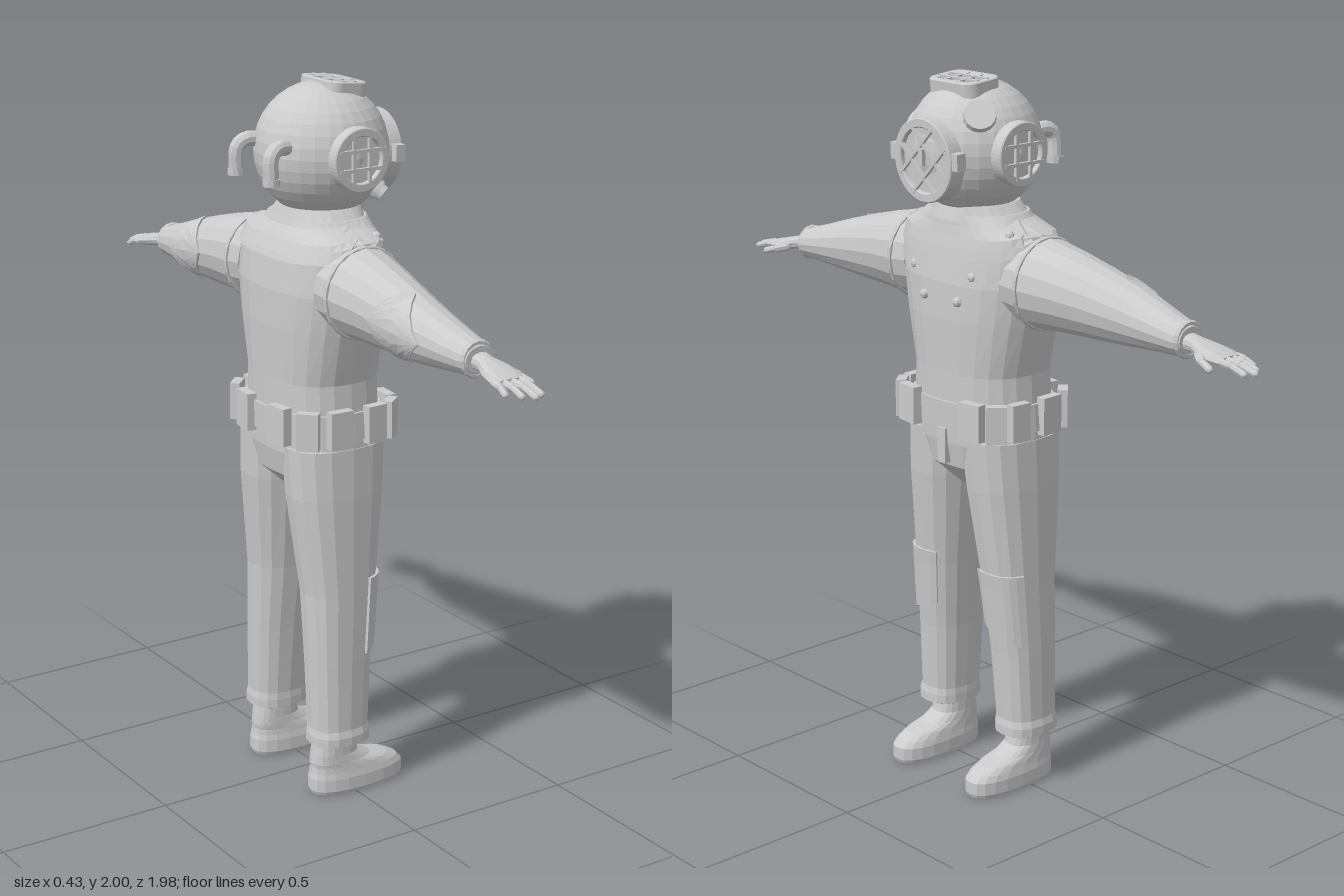
import * as THREE from 'three';

const mat = new THREE.MeshStandardMaterial({ color: 0xcccccc, flatShading: true, side: THREE.DoubleSide });
const V = (x, y, z) => new THREE.Vector3(x, y, z);

function add(parent, name, geo, pos = [0, 0, 0], rot = [0, 0, 0]) {
  const m = new THREE.Mesh(geo, mat);
  m.name = name;
  m.position.set(...pos);
  m.rotation.set(...rot);
  parent.add(m);
  return m;
}

// Surface through rings [t, centre1, centre2, radius1, radius2] along y or x
function surface(rings, axis, e) {
  const pw = c => Math.sign(c) * Math.abs(c) ** e;
  return (t, a, off = 0, k = 1) => {
    let i = 0;
    while (i < rings.length - 2 && t > rings[i + 1][0]) i++;
    const f = THREE.MathUtils.clamp((t - rings[i][0]) / (rings[i + 1][0] - rings[i][0]), 0, 1);
    const [, c1, c2, r1, r2] = rings[i].map((q, n) => q + (rings[i + 1][n] - q) * f);
    const p = c1 + k * (r1 + off) * pw(axis === 'y' ? Math.cos(a) : Math.sin(a));
    const z = c2 + k * (r2 + off) * pw(axis === 'y' ? Math.sin(a) : Math.cos(a));
    return axis === 'y' ? V(p, t, z) : V(t, p, z);
  };
}

// Quad grid of nu x nv cells from fn(i, j)
function grid(nu, nv, fn) {
  const pos = [], idx = [];
  for (let j = 0; j <= nv; j++) for (let i = 0; i <= nu; i++) pos.push(...fn(i, j).toArray());
  for (let j = 0; j < nv; j++) for (let i = 0; i < nu; i++) {
    const a = j * (nu + 1) + i, b = a + 1, c = a + nu + 1, d = c + 1;
    idx.push(a, c, b, b, c, d);
  }
  const g = new THREE.BufferGeometry();
  g.setAttribute('position', new THREE.Float32BufferAttribute(pos, 3));
  g.setIndex(idx);
  g.computeVertexNormals();
  return g;
}

// Closed tube over the given stations, capped at both ends
function loft(f, ts, n) {
  const rows = [ts[0], ...ts, ts[ts.length - 1]];
  return grid(n, rows.length - 1, (i, j) =>
    f(rows[j], i / n * Math.PI * 2, 0, j === 0 || j === rows.length - 1 ? 0 : 1));
}

// Raised patch lying on a surface; range(v, u) gives [t, angle]; borders sink in
function patch(f, nu, nv, off, range, wrap = false) {
  return grid(nu, nv, (i, j) => {
    const edge = j === 0 || j === nv || (!wrap && (i === 0 || i === nu));
    const cl = (k, n) => THREE.MathUtils.clamp((k - 1) / (n - 2), 0, 1);
    const [t, a] = range(cl(j, nv), wrap ? i / nu : cl(i, nu));
    return f(t, a, edge ? -0.006 : off);
  });
}

function rod(parent, name, p, q, r) {
  const d = q.clone().sub(p);
  const m = add(parent, name, new THREE.CapsuleGeometry(r, Math.max(d.length() - r, 0.005), 3, 8),
    p.clone().add(q).multiplyScalar(0.5).toArray());
  m.quaternion.setFromUnitVectors(V(0, 1, 0), d.normalize());
}

function rounded(P, w, h, r) {
  const s = new P();
  [[w - r, h - r, 0], [r - w, h - r, 1], [r - w, r - h, 2], [w - r, r - h, 3]].forEach(([x, y, q]) =>
    s.absarc(x, y, r, q * Math.PI / 2, (q + 1) * Math.PI / 2, false));
  return s;
}

// Framed port with a barred grille; its front face is at z = 0
function port(name, w, h, r, rim, depth, turn) {
  const g = new THREE.Group();
  g.name = name;
  const frame = rounded(THREE.Shape, w, h, r);
  frame.holes.push(rounded(THREE.Path, w - rim, h - rim, r - rim));
  const opt = { depth, bevelEnabled: true, bevelSize: 0.003, bevelThickness: 0.003, bevelSegments: 1, curveSegments: 6 };
  add(g, 'portFrame', new THREE.ExtrudeGeometry(frame, opt), [0, 0, -depth - 0.003]);
  add(g, 'glass', new THREE.ShapeGeometry(rounded(THREE.Shape, w - rim, h - rim, r - rim), 6), [0, 0, -0.014]);
  const bars = new THREE.Group();
  bars.name = 'grille';
  bars.rotation.z = turn;
  g.add(bars);
  const round = r >= w;
  for (const s of [-1, 1]) {
    const x = s * w * 0.3, y = s * h * 0.3;
    const ly = round ? Math.sqrt(w * w - x * x) * 2 - rim : 2 * h - rim;
    const lx = round ? Math.sqrt(h * h - y * y) * 2 - rim : 2 * w - rim;
    add(bars, 'bar', new THREE.BoxGeometry(0.009, ly, 0.009), [x, 0, -0.004]);
    add(bars, 'bar', new THREE.BoxGeometry(lx, 0.009, 0.009), [0, y, -0.002]);
  }
  return g;
}

const torso = surface([
  [0.865, 0, -0.01, 0.05, 0.07], [0.93, 0, -0.012, 0.17, 0.135], [1.0, 0, -0.012, 0.21, 0.148],
  [1.1, 0, -0.01, 0.2, 0.152], [1.2, 0, -0.01, 0.193, 0.153], [1.35, 0, -0.01, 0.228, 0.157],
  [1.45, 0, -0.01, 0.248, 0.155], [1.54, 0, -0.01, 0.25, 0.143], [1.59, 0, -0.003, 0.235, 0.125],
  [1.62, 0, 0.005, 0.15, 0.112], [1.66, 0, 0.01, 0.11, 0.105]], 'y', 0.8);
const leg = surface([
  [0.15, 0.161, -0.028, 0.064, 0.08], [0.155, 0.161, -0.028, 0.073, 0.09], [0.18, 0.161, -0.028, 0.073, 0.09],
  [0.2, 0.159, -0.028, 0.069, 0.086], [0.4, 0.151, -0.024, 0.075, 0.094], [0.6, 0.139, -0.016, 0.083, 0.106],
  [0.88, 0.117, -0.014, 0.099, 0.138], [1.02, 0.106, -0.012, 0.104, 0.145]], 'y', 0.8);
const arm = surface([
  [0.19, 1.47, -0.01, 0.12, 0.12], [0.26, 1.465, -0.01, 0.122, 0.12], [0.36, 1.457, -0.016, 0.109, 0.105],
  [0.46, 1.445, -0.022, 0.096, 0.091], [0.58, 1.43, -0.026, 0.077, 0.078], [0.68, 1.418, -0.02, 0.057, 0.064],
  [0.75, 1.41, -0.015, 0.045, 0.053], [0.765, 1.41, -0.015, 0.035, 0.042]], 'x', 1);
const shoe = surface([
  [0, 0.156, 0.034, 0.058, 0.146], [0.01, 0.156, 0.034, 0.062, 0.15], [0.045, 0.156, 0.034, 0.061, 0.15],
  [0.062, 0.156, 0.028, 0.057, 0.14], [0.078, 0.156, 0.012, 0.054, 0.122], [0.092, 0.156, -0.018, 0.051, 0.093],
  [0.115, 0.156, -0.038, 0.048, 0.07], [0.17, 0.156, -0.04, 0.045, 0.06]], 'y', 0.8);
const palm = surface([
  [0.75, 1.408, -0.012, 0.024, 0.03], [0.79, 1.404, -0.012, 0.02, 0.028], [0.83, 1.396, -0.012, 0.019, 0.046],
  [0.87, 1.388, -0.015, 0.017, 0.05], [0.895, 1.383, -0.018, 0.012, 0.045]], 'x', 0.85);

// One side of the body: arm, hand, leg, shoe and belt weights
function makeSide() {
  const g = new THREE.Group();
  add(g, 'sleeve', loft(arm, [0.19, 0.26, 0.36, 0.46, 0.58, 0.68, 0.75, 0.765], 16));
  add(g, 'shoulderSeam', new THREE.TorusGeometry(0.121, 0.007, 6, 24), [0.252, 1.465, -0.01], [0, Math.PI / 2, 0]);
  add(g, 'sleeveCuff', new THREE.TorusGeometry(0.043, 0.008, 6, 16), [0.755, 1.41, -0.015], [0, Math.PI / 2, 0]);
  add(g, 'elbowPatch', patch(arm, 10, 10, 0.006, (v, u) =>
    [0.42 + 0.2 * v, Math.PI + (u - 0.5) * 2.9 * (1 - Math.abs(2 * v - 1))]));
  add(g, 'palm', loft(palm, [0.75, 0.79, 0.83, 0.87, 0.895], 12));
  [[-0.055, 0.935, -0.062], [-0.033, 0.968, -0.036], [-0.009, 0.988, -0.01], [0.014, 0.975, 0.017]].forEach(([z, x, z2]) => {
    const mid = V((0.88 + x) / 2, 1.382, (z + z2) / 2);
    rod(g, 'finger', V(0.875, 1.386, z), mid, 0.0105);
    rod(g, 'finger', mid, V(x, 1.368, z2), 0.009);
  });
  rod(g, 'thumb', V(0.82, 1.392, 0.018), V(0.855, 1.382, 0.042), 0.013);
  rod(g, 'thumb', V(0.855, 1.382, 0.042), V(0.893, 1.37, 0.052), 0.01);

  add(g, 'trouserLeg', loft(leg, [0.15, 0.155, 0.18, 0.2, 0.4, 0.6, 0.88, 1.02], 16));
  add(g, 'kneePatch', patch(leg, 9, 6, 0.007, (v, u) => [0.42 + 0.06 * u * (1 - v) + 0.22 * v, 0.4 + 1.65 * u]));
  add(g, 'shoe', loft(shoe, [0, 0.01, 0.045, 0.062, 0.078, 0.092, 0.115, 0.17], 20));

  // Belt weights around the waist
  [[0.126, 0.147, 0.12, 0.072], [0.193, 0.118, 0.9, 0.055], [0.213, 0.055, 1.5, 0.06], [0.213, -0.058, 1.62, 0.068],
    [0.182, -0.14, 2.35, 0.06], [0.085, -0.17, 3.04, 0.07]].forEach(([x, z, r, w]) => {
    add(g, 'beltWeight', new THREE.BoxGeometry(w, 0.105, 0.028), [x, 1.085, z], [0, r, 0]);
  });

  // Breathing pipe behind the helmet
  const path = new THREE.CatmullRomCurve3([V(0.07, 1.83, -0.11), V(0.08, 1.838, -0.165), V(0.085, 1.82, -0.19), V(0.088, 1.75, -0.193)]);
  add(g, 'breathingPipe', new THREE.TubeGeometry(path, 12, 0.021, 10));
  add(g, 'pipeEnd', new THREE.CylinderGeometry(0.023, 0.023, 0.018, 10), [0.088, 1.752, -0.193]);

  // Side port
  const p = port('sidePort', 0.083, 0.083, 0.083, 0.018, 0.04, 0);
  p.position.set(0.195, 1.805, 0.022);
  p.rotation.y = Math.PI / 2;
  g.add(p);
  return g;
}

export function createModel() {
  const root = new THREE.Group();
  root.name = 'deepSeaDiver';
  const body = new THREE.Group();
  body.name = 'body';
  body.rotation.y = Math.PI / 2;
  root.add(body);

  add(body, 'torso', loft(torso, [0.865, 0.93, 1.0, 1.1, 1.2, 1.35, 1.45, 1.54, 1.59, 1.62, 1.66], 24));
  add(body, 'belt', patch(torso, 24, 3, 0.008, (v, u) => [1.045 + 0.075 * v, u * Math.PI * 2], true));
  add(body, 'fly', new THREE.BoxGeometry(0.03, 0.1, 0.02), [0, 0.99, 0.135]);

  // Breastplate over the shoulders with bolts
  const rim = a => 1.585 - (Math.sin(a) > 0 ? 0.125 : 0.05) * Math.sqrt(Math.abs(Math.sin(a)));
  add(body, 'breastplate', patch(torso, 32, 8, 0.007, (v, u) => {
    const a = u * Math.PI * 2;
    return [rim(a) + (1.635 - rim(a)) * v, a];
  }, true));
  for (const s of [-1, 1]) for (const [x, y, z] of [[0.19, 1.595, 0.07], [0.165, 1.495, 0.108], [0.115, 1.48, 0.133], [0.066, 1.405, 0.143]])
    add(body, 'bolt', new THREE.SphereGeometry(0.014, 8, 6), [s * x, y, z]);

  // Helmet
  add(body, 'neckRing', new THREE.CylinderGeometry(0.112, 0.124, 0.035, 24), [0, 1.635, 0.012]);
  add(body, 'helmet', new THREE.SphereGeometry(0.183, 28, 18), [0, 1.806, 0.02]);
  const front = port('frontPort', 0.11, 0.11, 0.11, 0.02, 0.06, Math.PI / 4);
  front.position.set(0, 1.785, 0.207);
  front.rotation.x = 0.04;
  body.add(front);
  add(front, 'latch', new THREE.BoxGeometry(0.016, 0.045, 0.012), [0, 0.01, 0.001]);
  for (const s of [-1, 1])
    add(front, 'hinge', new THREE.BoxGeometry(0.03, 0.045, 0.03), [s * 0.118, 0.01, -0.02]);
  const top = port('topPort', 0.085, 0.058, 0.03, 0.016, 0.035, 0);
  top.position.set(0, 1.991, 0.06);
  top.rotation.x = -Math.PI / 2 + 0.1;
  body.add(top);

  // Fittings on the helmet: upper disc and lower valve, set along a direction
  const fit = (name, dir, r, len) => {
    const d = V(...dir).normalize();
    const m = add(body, name, new THREE.CylinderGeometry(r, r * 1.08, len, 16),
      d.clone().multiplyScalar(0.183).add(V(0, 1.806, 0.02)).toArray());
    m.quaternion.setFromUnitVectors(V(0, 1, 0), d);
  };
  fit('upperDisc', [0.13, 0.11, 0.1], 0.042, 0.02);
  fit('lowerValve', [-0.125, -0.115, 0.115], 0.022, 0.05);
  fit('valveCap', [-0.125, -0.115, 0.115], 0.028, 0.02);

  // Mirrored sides
  for (const s of [-1, 1]) {
    const side = makeSide();
    side.name = s > 0 ? 'leftSide' : 'rightSide';
    side.scale.x = s;
    body.add(side);
  }
  return root;
}
